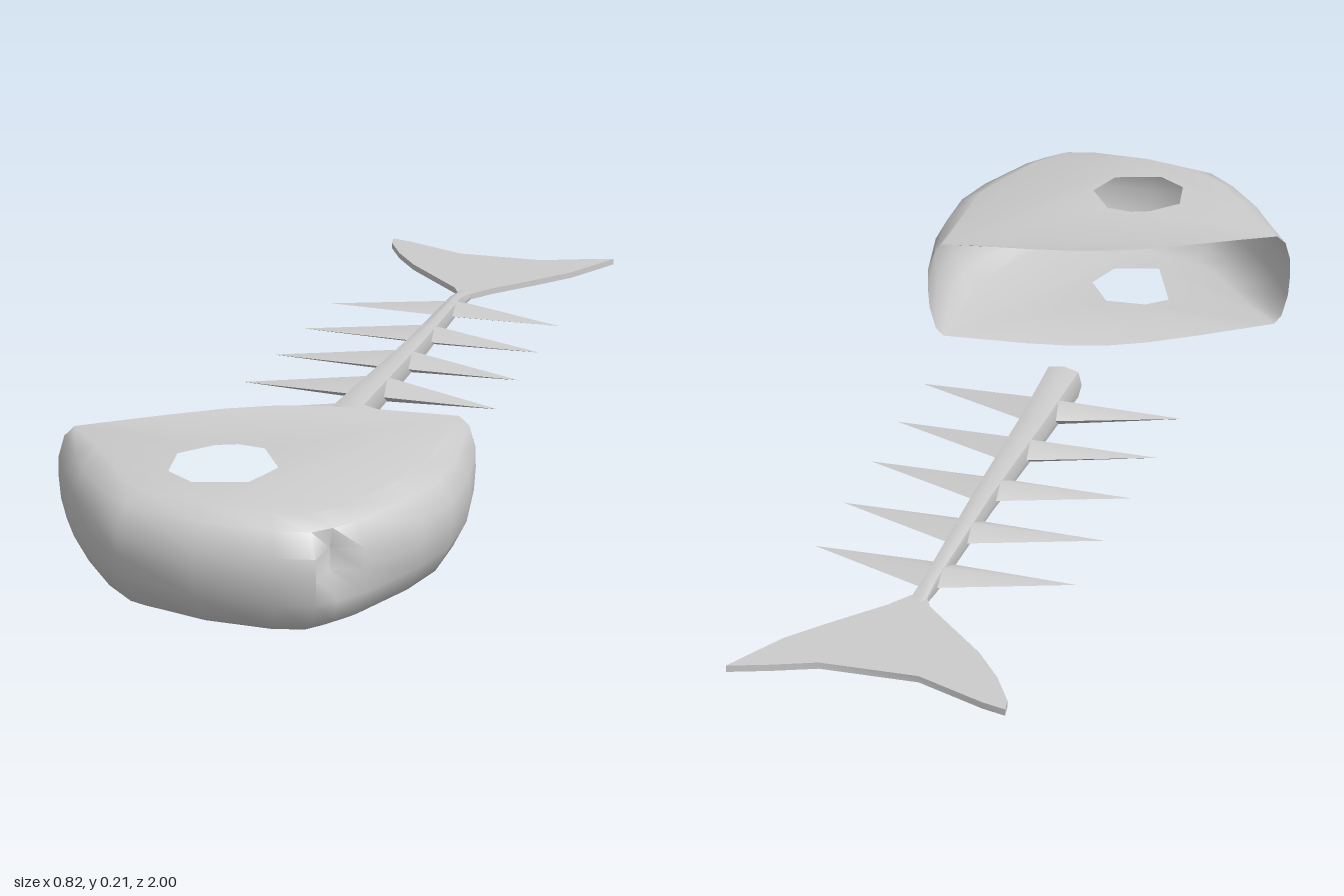
import * as THREE from 'three';
import { mergeGeometries, toCreasedNormals } from 'three/addons/utils/BufferGeometryUtils.js';

const bone = new THREE.MeshStandardMaterial({ color: 0xcccccc, side: THREE.DoubleSide });
bone.name = 'bone grey';

// Skin a list of equal-length rings of [x, y, z] points
function loft(rings, closed) {
  const n = rings[0].length, index = [];
  const spans = closed ? n : n - 1;
  for (let r = 0; r < rings.length - 1; r++) {
    for (let i = 0; i < spans; i++) {
      const j = (i + 1) % n, a = r * n + i, b = r * n + j;
      index.push(a, b, a + n, b, b + n, a + n);
    }
  }
  const g = new THREE.BufferGeometry();
  g.setAttribute('position', new THREE.Float32BufferAttribute(rings.flat(2), 3));
  g.setIndex(index);
  return g;
}

function part(name, geometry, crease = 1.15) {
  const mesh = new THREE.Mesh(toCreasedNormals(geometry, crease), bone);
  mesh.name = name;
  return mesh;
}

// Hollow head: bulging wall around the snout, open at the neck
const jaw = [[-0.30, 0.71], [-0.25, 0.785], [-0.20, 0.85], [-0.11, 0.935], [-0.04, 0.98], [0.11, 0.995], [0.25, 0.975],
  [0.31, 0.95], [0.335, 0.915], [0.36, 0.87], [0.40, 0.73], [0.41, 0.63], [0.39, 0.51], [0.34, 0.37]];
const neck = [[0.25, 0.395], [0.15, 0.42], [0.07, 0.445], [0, 0.475], [-0.07, 0.52], [-0.15, 0.585], [-0.22, 0.645]];
const topEye = [[-0.045, 0.75], [-0.005, 0.69], [0.03, 0.67], [0.08, 0.67], [0.14, 0.74], [0.125, 0.82], [0.04, 0.86], [-0.02, 0.83]];
const bottomEye = [[-0.035, 0.725], [0.0, 0.685], [0.08, 0.67], [0.14, 0.74], [0.125, 0.82], [0.04, 0.86]];
const levels = [[0, 0.06], [0.017, 0.03], [0.065, 0.006], [0.11, 0], [0.15, 0.002], [0.19, 0.024], [0.207, 0.06]];

const dome = (x, y) => 0.104 + (y - 0.104) * (1 - 0.6 * (x - 0.07) ** 2);

function inset(i, d) {
  const [x, z] = jaw[i];
  const end = i === 0 || i === jaw.length - 1;
  const dx = (end ? 0.02 : 0.06) - x, dz = (end ? 0.47 : 0.69) - z, len = Math.hypot(dx, dz);
  const k = (end ? d * 0.5 : d) / len;
  return [x + dx * k, z + dz * k];
}

function headPlate(y, d, eye, flip) {
  const pts = list => list.map(([x, z]) => new THREE.Vector2(x, -z));
  const shape = new THREE.Shape(pts([...jaw.map((_, i) => inset(i, d)), ...neck]));
  shape.holes.push(new THREE.Path(pts(eye)));
  const g = new THREE.ShapeGeometry(shape).rotateX(-Math.PI / 2);
  const p = g.attributes.position;
  for (let i = 0; i < p.count; i++) p.setY(i, dome(p.getX(i), y));
  if (flip) g.index.array.reverse();
  g.deleteAttribute('uv');
  g.deleteAttribute('normal');
  return g;
}

function head() {
  const wall = loft(levels.map(([y, d], level) => jaw.map((_, i) => {
    const mouth = i === 8 && (level === 3 || level === 4) ? 0.035 : 0;
    const [x, z] = inset(i, d + mouth);
    return [x, dome(x, y), z];
  })), false);
  // ShapeGeometry uses 16-bit indices, so match it before merging
  const shell = [wall, headPlate(0.207, 0.06, topEye, false), headPlate(0, 0.06, bottomEye, true)];
  return part('head', mergeGeometries(shell.map(g => g.toNonIndexed())), 1.2);
}

// Tapered backbone, capped at both ends: [x, y, z, half width, half height]
function backbone() {
  const stations = [[-0.13, 0.046, -0.68, 0, 0], [-0.13, 0.046, -0.68, 0.016, 0.006], [-0.125, 0.047, -0.61, 0.014, 0.016],
    [-0.083, 0.046, -0.3, 0.021, 0.022], [-0.05, 0.046, 0, 0.03, 0.028],
    [-0.024, 0.047, 0.207, 0.038, 0.033], [-0.024, 0.047, 0.207, 0, 0]];
  const side = c => Math.sign(c) * Math.abs(c) ** 0.6;
  return part('backbone', loft(stations.map(([x, y, z, w, h]) => Array.from({ length: 8 }, (_, i) => {
    const t = i / 8 * Math.PI * 2;
    return [x + w * side(Math.cos(t)), y + h * side(Math.sin(t)), z];
  })), true), 0.9);
}

// Diamond-section spike from the backbone to a sharp tip
function rib(side, i) {
  const root = [-0.118 + 0.022 * i, 0.046, -0.575 + 0.1625 * i];
  const tip = side > 0 ? [0.12 + 0.025 * i, 0.046, -0.565 + 0.164 * i] : [-0.355 + 0.0165 * i, 0.046, -0.505 + 0.165 * i];
  const height = 0.017 + 0.003 * i;
  const ring = (c, s) => Array.from({ length: 4 }, (_, k) => {
    const t = k / 4 * Math.PI * 2;
    return [c[0], c[1] + height * s * Math.sin(t), c[2] - side * 0.048 * s * Math.cos(t)];
  });
  return part(side > 0 ? 'leftRib' : 'rightRib', loft([ring(root, 1), ring(tip, 0)], true));
}

// Thin forked tail fin
function tail() {
  const outline = [[-0.143, -0.66], [-0.16, -0.685], [-0.22, -0.73], [-0.30, -0.79], [-0.36, -0.85], [-0.405, -0.91], [-0.413, -0.937],
    [-0.37, -0.932], [-0.24, -0.90], [-0.07, -0.928], [0, -0.967], [0.066, -1], [0.055, -0.97],
    [0.02, -0.88], [-0.03, -0.80], [-0.09, -0.71], [-0.115, -0.66]];
  const shape = new THREE.Shape(outline.map(([x, z]) => new THREE.Vector2(x, -z)));
  const g = new THREE.ExtrudeGeometry(shape, { depth: 0.012, bevelEnabled: false });
  g.rotateX(-Math.PI / 2).translate(0, 0.04, 0);
  return part('tailFin', g, 0.6);
}

export function createModel() {
  const model = new THREE.Group();
  model.name = 'fishSkeleton';
  model.add(head(), backbone(), tail());
  for (let i = 0; i < 5; i++) model.add(rib(1, i), rib(-1, i));
  return model;
}
